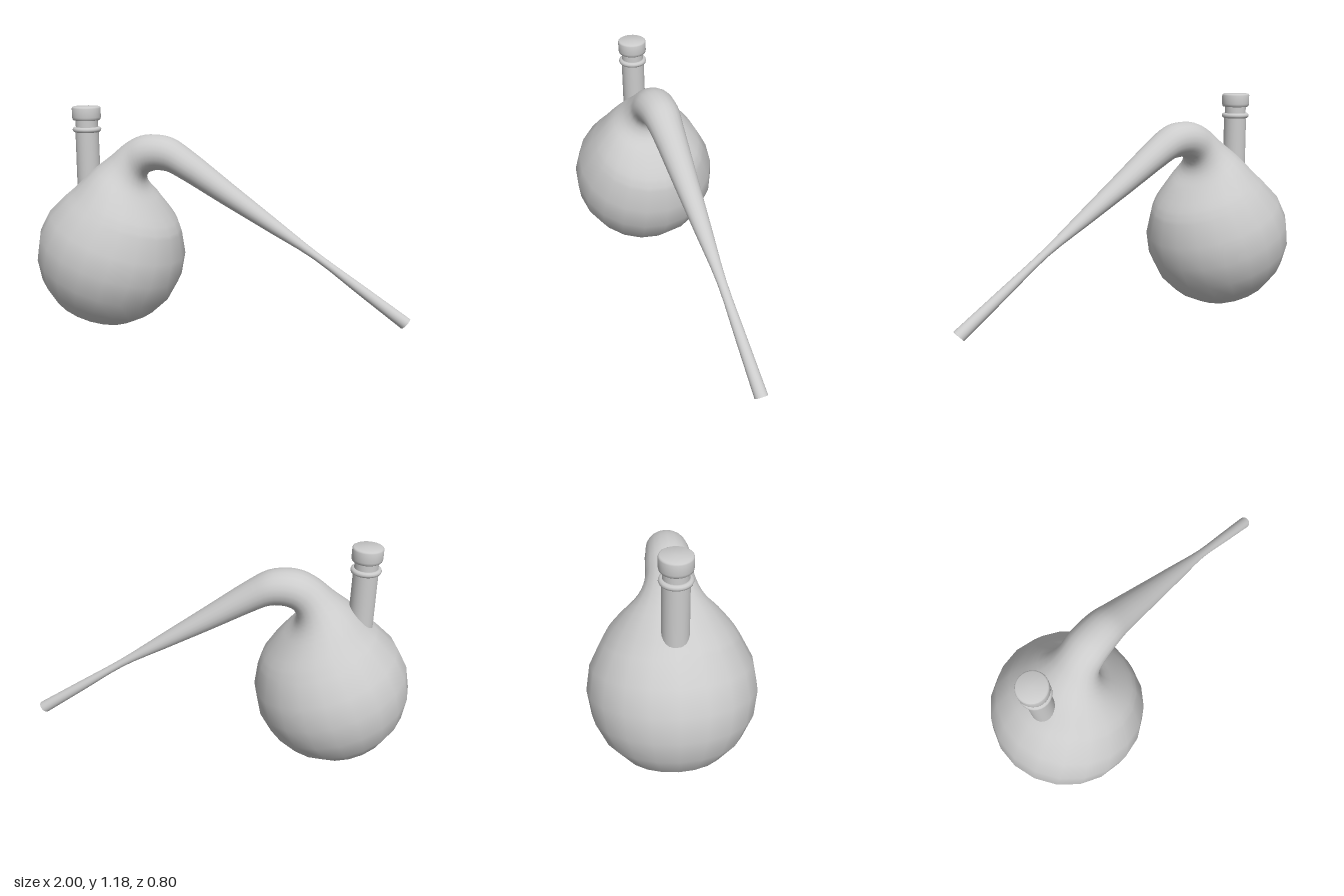
import * as THREE from 'three';
import { mergeVertices } from 'three/addons/utils/BufferGeometryUtils.js';

const SIDES = 20;

// Skin closed elliptical rings; each section is [outer x, y, inner x, y, half width in z]
function loft(sections) {
  const pos = [], index = [];
  sections.forEach(([ax, ay, bx, by, w], i) => {
    for (let j = 0; j < SIDES; j++) {
      const a = (j / SIDES) * Math.PI * 2, c = Math.cos(a) / 2;
      pos.push((ax + bx) / 2 + c * (ax - bx), (ay + by) / 2 + c * (ay - by), w * Math.sin(a));
      if (i === 0) continue;
      const k = (j + 1) % SIDES, p = (i - 1) * SIDES, q = i * SIDES;
      index.push(p + j, p + k, q + j, p + k, q + k, q + j);
    }
  });
  let g = new THREE.BufferGeometry();
  g.setAttribute('position', new THREE.Float32BufferAttribute(pos, 3));
  g.setIndex(index);
  g = mergeVertices(g, 1e-5);
  g.computeVertexNormals();
  return g;
}

export function createModel() {
  const group = new THREE.Group();
  const mat = new THREE.MeshStandardMaterial({ color: 0xcccccc, side: THREE.DoubleSide });
  const add = (name, geo, x = 0, y = 0) => {
    const m = new THREE.Mesh(geo, mat);
    m.name = name;
    m.position.set(x, y, 0);
    group.add(m);
    return m;
  };

  // Round bulb, its rings tilted towards the neck
  const tilt = 0.35, R = 0.4;
  const bulbRing = (deg) => {
    const p = THREE.MathUtils.degToRad(deg);
    return [
      -0.6 + R * Math.sin(tilt - p), R + R * Math.cos(tilt - p),
      -0.6 + R * Math.sin(tilt + p), R + R * Math.cos(tilt + p), R * Math.sin(p),
    ];
  };
  const sections = [];
  for (let deg = 180; deg > 54; deg -= 18) sections.push(bulbRing(deg));

  // Shoulder, bend, tapering spout and slightly flared tip
  const neck = [
    bulbRing(54),
    [-0.77, 0.775, -0.24, 0.575, 0.29],
    [-0.68, 0.86, -0.32, 0.685, 0.215],
    [-0.58, 0.935, -0.385, 0.75, 0.145],
    [-0.5, 1.0, -0.402, 0.8, 0.113],
    [-0.42, 1.04, -0.385, 0.842, 0.108],
    [-0.34, 1.05, -0.34, 0.862, 0.103],
    [-0.25, 1.035, -0.27, 0.86, 0.096],
    [-0.16, 0.982, -0.21, 0.833, 0.086],
    [0.07, 0.812, 0.025, 0.703, 0.065],
    [0.3, 0.642, 0.265, 0.573, 0.044],
    [0.525, 0.476, 0.503, 0.443, 0.024],
    [0.76, 0.321, 0.729, 0.279, 0.028],
    [0.997, 0.165, 0.955, 0.115, 0.033],
  ];
  const outer = new THREE.CatmullRomCurve3(neck.map((s) => new THREE.Vector3(s[0], s[1], s[4])));
  const inner = new THREE.CatmullRomCurve3(neck.map((s) => new THREE.Vector3(s[2], s[3], 0)));
  const steps = (neck.length - 1) * 3;
  for (let i = 0; i <= steps; i++) {
    const o = outer.getPoint(i / steps), n = inner.getPoint(i / steps);
    sections.push([o.x, o.y, n.x, n.y, o.z]);
  }
  add('bulbAndSpout', loft(sections));

  // Upright filling tube with its rim
  const X = -0.72;
  add('fillingTube', new THREE.CylinderGeometry(0.061, 0.063, 0.37, 24, 1, true), X, 0.885);
  const rim = add('tubeRim', new THREE.TorusGeometry(0.061, 0.014, 10, 28), X, 1.065);
  rim.rotation.x = Math.PI / 2;

  // Stopper: plug and wide cap with softened edges
  const profile = [
    [0, 1.05], [0.058, 1.05], [0.058, 1.114], [0.058, 1.114], [0.068, 1.114], [0.073, 1.119],
    [0.075, 1.13], [0.075, 1.176], [0.073, 1.182], [0.068, 1.185], [0.068, 1.185], [0, 1.185],
  ].map(([r, y]) => new THREE.Vector2(r, y));
  const lathe = new THREE.LatheGeometry(profile, 28).toNonIndexed();
  lathe.computeVertexNormals();
  lathe.deleteAttribute('uv');
  add('stopper', creased(lathe), X);
  return group;
}

// Smooth shading around the stopper, sharp where its faces turn steeply
function creased(geo) {
  const p = geo.attributes.position, n = geo.attributes.normal, out = [];
  const key = (i) => [p.getX(i), p.getY(i), p.getZ(i)].map((v) => Math.round(v * 1e4)).join();
  const faces = {}, a = new THREE.Vector3(), b = new THREE.Vector3();
  for (let i = 0; i < p.count; i++) (faces[key(i)] ??= []).push(i);
  for (let i = 0; i < p.count; i++) {
    const sum = new THREE.Vector3();
    a.fromBufferAttribute(n, i);
    for (const j of faces[key(i)]) if (a.dot(b.fromBufferAttribute(n, j)) > 0.6) sum.add(b);
    sum.normalize();
    out.push(sum.x, sum.y, sum.z);
  }
  geo.setAttribute('normal', new THREE.Float32BufferAttribute(out, 3));
  return geo;
}
